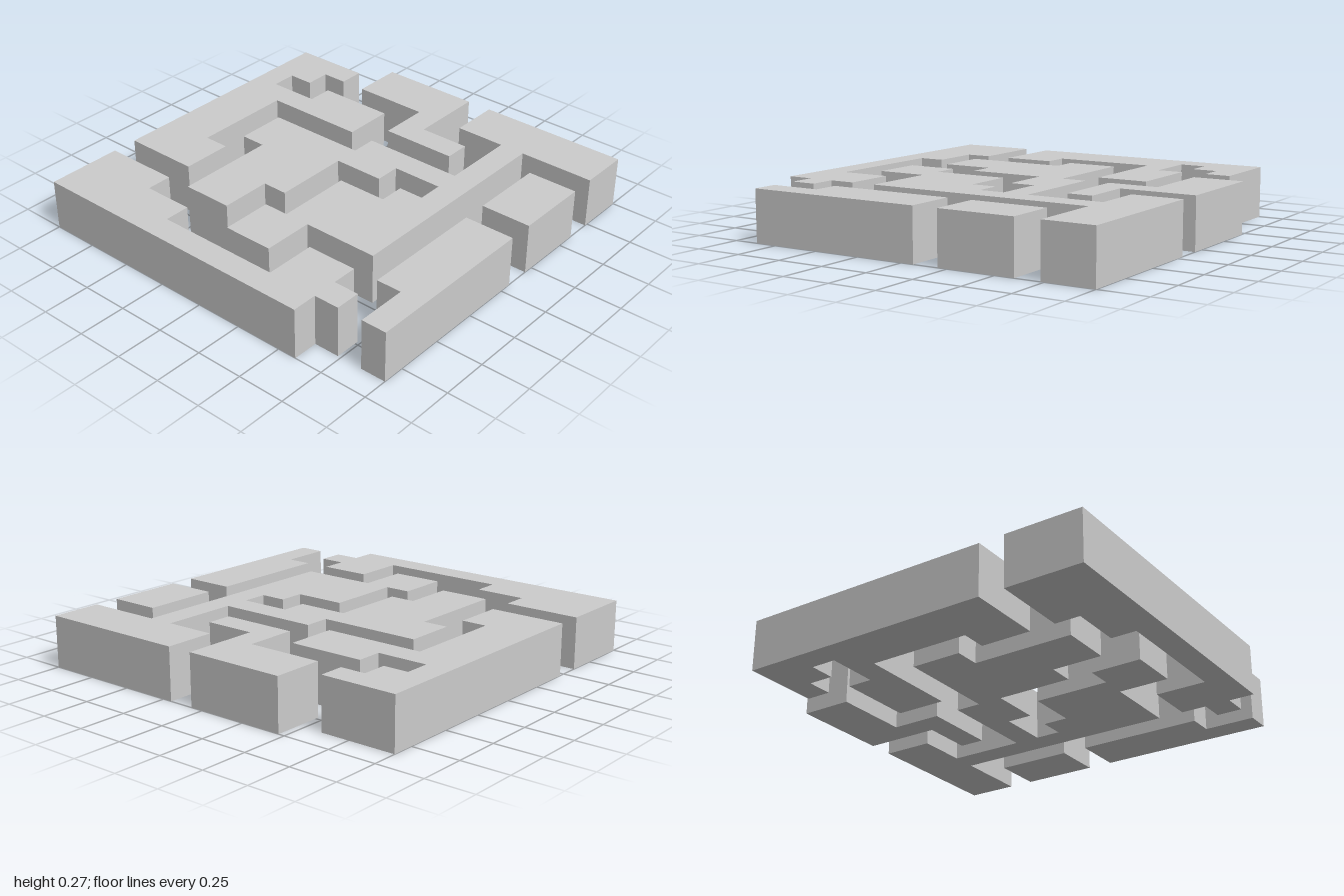
import * as THREE from 'three';

// The maze sits on a 15 x 15 grid; walls are two cells high.
const CELL = 2 / 15;
const HEIGHT = 2 * CELL;

// Outlines as grid corners: [column from the left, row from the back].
const walls = {
  leftWall: [[0, 1], [3, 1], [3, 2], [2, 2], [2, 3], [1, 3], [1, 4], [3, 4], [3, 3], [6, 3],
    [6, 5], [2, 5], [2, 9], [3, 9], [3, 11], [0, 11]],
  backWall: [[4, 0], [8, 0], [8, 3], [10, 3], [10, 4], [7, 4], [7, 2], [4, 2]],
  centreWall: [[9, 0], [15, 0], [15, 2], [12, 2], [12, 11], [9, 11], [9, 13], [7, 13], [7, 11],
    [8, 11], [8, 8], [10, 8], [10, 7], [11, 7], [11, 6], [9, 6], [9, 7], [7, 7], [7, 10], [6, 10],
    [6, 12], [4, 12], [4, 8], [3, 8], [3, 6], [7, 6], [7, 5], [11, 5], [11, 2], [9, 2]],
  rightBlock: [[13, 3], [15, 3], [15, 6], [13, 6]],
  rightWall: [[13, 7], [15, 7], [15, 14], [14, 14], [14, 12], [13, 12]],
  frontWall: [[0, 12], [3, 12], [3, 13], [5, 13], [5, 14], [10, 14], [10, 12], [12, 12],
    [12, 13], [13, 13], [13, 14], [12, 14], [12, 15], [0, 15]],
};

export function createModel() {
  const group = new THREE.Group();
  group.name = 'mazeBlock';
  const material = new THREE.MeshStandardMaterial({ color: 0xcccccc, flatShading: true });

  // Extrude each outline and lay it flat on the ground.
  for (const [name, corners] of Object.entries(walls)) {
    const shape = new THREE.Shape(
      corners.map(([i, j]) => new THREE.Vector2(i * CELL - 1, 1 - j * CELL)));
    const geometry = new THREE.ExtrudeGeometry(shape, { depth: HEIGHT, bevelEnabled: false });
    geometry.rotateX(-Math.PI / 2);
    const mesh = new THREE.Mesh(geometry, material);
    mesh.name = name;
    group.add(mesh);
  }
  return group;
}
